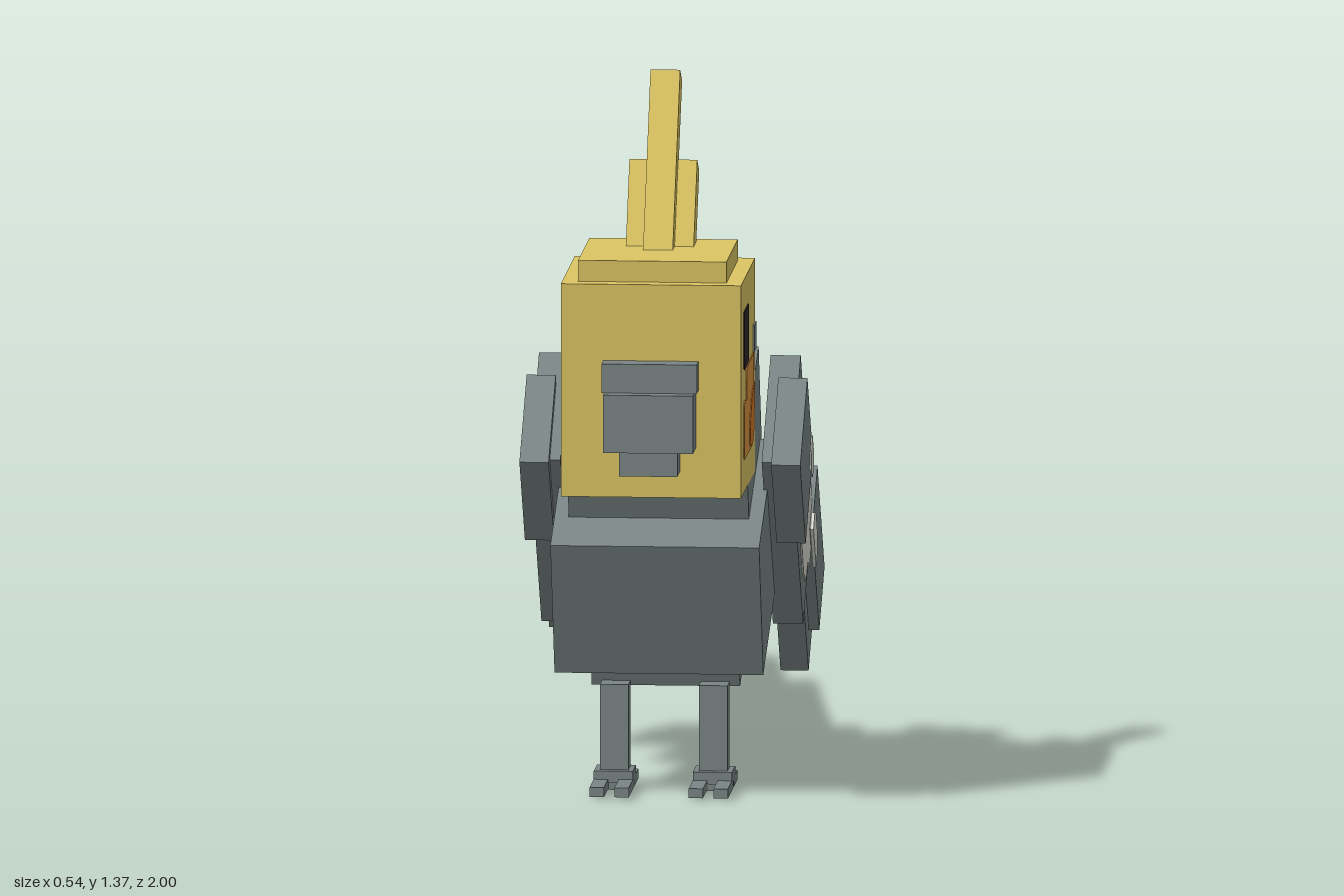
import * as THREE from 'three';

const mat = (name, color) => {
  const m = new THREE.MeshStandardMaterial({ color });
  m.name = name;
  return m;
};

export function createModel() {
  const model = new THREE.Group();
  model.name = 'crestedBird';
  const grey = mat('featherGrey', 0x7a8585);
  const yellow = mat('headYellow', 0xdcc563);
  const white = mat('wingWhite', 0xdadad2);
  const black = mat('eyeBlack', 0x2d2528);
  const orange = mat('cheekOrange', 0xd8923f);
  const deep = mat('cheekDeepOrange', 0xd5782c);

  const add = (name, geo, m) => {
    const mesh = new THREE.Mesh(geo, m);
    mesh.name = name;
    model.add(mesh);
    return mesh;
  };
  // Upright box from its limits
  const box = (name, m, x0, x1, y0, y1, z0, z1) =>
    add(name, new THREE.BoxGeometry(x1 - x0, y1 - y0, z1 - z0), m)
      .position.set((x0 + x1) / 2, (y0 + y1) / 2, (z0 + z1) / 2);
  // Box pitched about x, placed by its top back edge (z, y)
  const slab = (name, m, x0, x1, z, y, h, d, deg) => {
    const a = THREE.MathUtils.degToRad(deg), s = Math.sin(a), c = Math.cos(a);
    const mesh = add(name, new THREE.BoxGeometry(Math.abs(x1 - x0), h, d), m);
    mesh.rotation.x = a;
    mesh.position.set((x0 + x1) / 2, y - c * h / 2 - s * d / 2, z - s * h / 2 + c * d / 2);
  };
  // Thin painted plate in the z-y plane, centred on x
  const plate = (name, m, x, t, points) => {
    const shape = new THREE.Shape(points.map(([z, y]) => new THREE.Vector2(z, y)));
    const geo = new THREE.ExtrudeGeometry(shape, { depth: t, bevelEnabled: false });
    geo.translate(0, 0, -t / 2).rotateY(-Math.PI / 2).translate(x, 0, 0);
    add(name, geo, m);
  };

  // Body
  const lean = 21.6;
  slab('chest', grey, -0.197, 0.197, 0.458, 0.646, 0.277, 0.405, lean);
  slab('upperBack', grey, -0.17, 0.17, 0.496, 0.828, 0.31, 0.33, lean);
  slab('belly', grey, -0.14, 0.14, 0.40, 0.571, 0.294, 0.29, lean);

  // Tail
  slab('tailBase', grey, -0.14, 0.14, -0.055, 0.27, 0.055, 0.40, -10.5);
  slab('tailMiddle', grey, -0.085, 0.085, -0.665, 0.155, 0.053, 0.64, -10.5);
  slab('tailTip', grey, -0.03, 0.03, -0.997, 0.092, 0.051, 0.36, -10.5);

  // Head and beak
  box('head', yellow, -0.17, 0.17, 0.605, 1.01, 0.582, 0.927);
  box('crown', yellow, -0.14, 0.14, 1.01, 1.05, 0.617, 0.895);
  box('beakBridge', grey, -0.09, 0.09, 0.81, 0.865, 0.927, 0.972);
  box('upperBeak', grey, -0.085, 0.085, 0.70, 0.81, 0.927, 1.0);
  box('lowerBeak', grey, -0.055, 0.055, 0.655, 0.70, 0.927, 0.995);

  // Crest
  slab('tallCrestFeather', yellow, -0.028, 0.028, 0.528, 1.338, 0.40, 0.055, -30);
  for (const s of [-1, 1])
    slab('shortCrestFeather', yellow, s * 0.028, s * 0.064, 0.576, 1.174, 0.20, 0.056, -30);

  for (const s of [-1, 1]) {
    // Face markings
    plate('eye', black, s * 0.17, 0.004, [[0.871, 0.85], [0.871, 0.95], [0.755, 0.95],
      [0.755, 0.85], [0.768, 0.839], [0.858, 0.839]]);
    plate('cheek', orange, s * 0.17, 0.004, [[0.871, 0.77], [0.845, 0.78], [0.81, 0.775], [0.80, 0.835],
      [0.635, 0.84], [0.635, 0.79], [0.645, 0.70], [0.67, 0.668], [0.86, 0.668], [0.871, 0.69]]);
    plate('cheekCentre', deep, s * 0.17, 0.008, [[0.753, 0.716], [0.705, 0.765], [0.64, 0.785],
      [0.645, 0.70], [0.68, 0.675], [0.74, 0.675]]);
    plate('headSpot', grey, s * 0.17, 0.006, [[0.635, 0.84], [0.635, 0.89], [0.582, 0.89], [0.582, 0.84]]);

    // Wing layers
    const tilt = 38.3;
    slab('wing', grey, s * 0.19, s * 0.247, 0.464, 0.807, 0.445, 0.276, tilt);
    slab('wingShoulder', grey, s * 0.21, s * 0.265, 0.533, 0.775, 0.215, 0.225, tilt);
    slab('wingTip', grey, s * 0.197, s * 0.255, 0.158, 0.55, 0.279, 0.163, tilt);
    slab('innerWingTip', grey, s * 0.182, s * 0.235, 0.158, 0.448, 0.257, 0.15, tilt);

    // White wing markings
    const patch = [[0.383, 0.70], [0.19, 0.458], [0.249, 0.41], [0.287, 0.378], [0.33, 0.394],
      [0.367, 0.362], [0.432, 0.389], [0.464, 0.437], [0.496, 0.48], [0.496, 0.544],
      [0.442, 0.598], [0.40, 0.64], [0.426, 0.694]];
    plate('wingPatchOuter', white, s * 0.247, 0.006, patch);
    plate('wingPatchInner', white, s * 0.19, 0.006, patch);
    slab('wingPatchEdge', white, s * 0.188, s * 0.249, 0.378, 0.704, 0.312, 0.006, tilt);
    plate('shoulderSpot', white, s * 0.265, 0.005, [[0.469, 0.619], [0.437, 0.651], [0.40, 0.61],
      [0.40, 0.598], [0.432, 0.571], [0.464, 0.582]]);
    plate('tipSpot', white, s * 0.255, 0.005, [[0.287, 0.448], [0.255, 0.476], [0.222, 0.469],
      [0.185, 0.42], [0.185, 0.394], [0.222, 0.367]]);

    // Leg, foot and toes
    const x = s * 0.0935;
    box('leg', grey, x - 0.027, x + 0.027, 0.03, 0.20, 0.563, 0.617);
    box('foot', grey, x - 0.037, x + 0.037, 0.015, 0.038, 0.555, 0.635);
    for (const t of [-1, 1]) {
      const tx = x + t * 0.0235;
      box('frontToe', grey, tx - 0.0135, tx + 0.0135, 0.004, 0.022, 0.60, 0.737);
      box('backToe', grey, tx - 0.0135, tx + 0.0135, 0.004, 0.022, 0.50, 0.59);
    }
    box('sole', grey, x - 0.027, x + 0.027, 0, 0.015, 0.57, 0.62);
  }
  return model;
}
